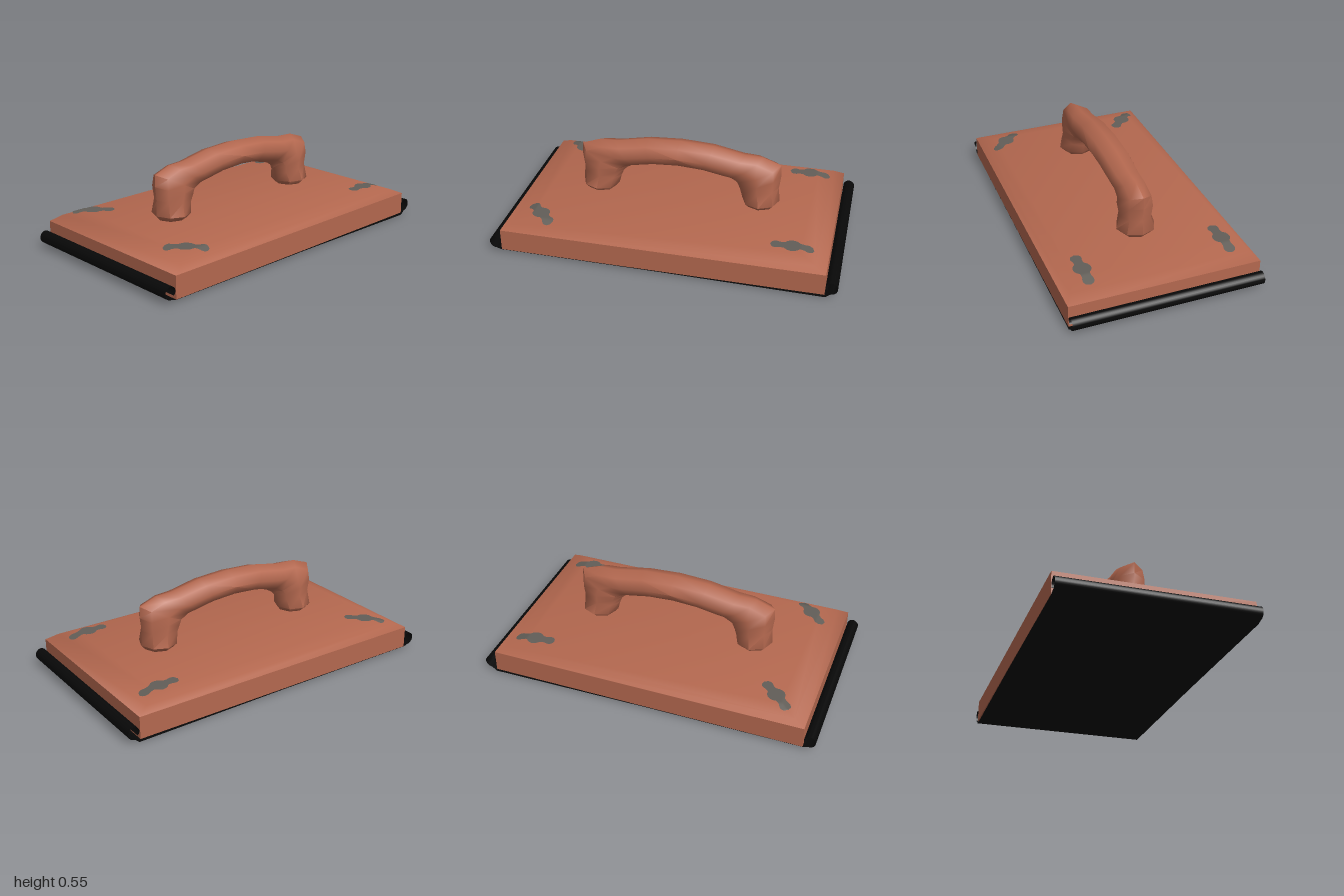
import * as THREE from 'three';
import { toCreasedNormals } from 'three/addons/utils/BufferGeometryUtils.js';

const clay = new THREE.MeshStandardMaterial({ color: 0xb4684f });
clay.name = 'clay brown';
const black = new THREE.MeshStandardMaterial({ color: 0x080808, side: THREE.DoubleSide });
black.name = 'sheet black';
const grey = new THREE.MeshStandardMaterial({ color: 0x625e58, side: THREE.DoubleSide });
grey.name = 'metal grey';

// Closed skin over rings of equal point count, with fan caps at both ends
function loft(rings, crease) {
  const n = rings[0].length, pos = [], index = [];
  rings.forEach(r => r.forEach(p => pos.push(...p)));
  for (let i = 0; i < rings.length - 1; i++) {
    for (let j = 0; j < n; j++) {
      const a = i * n + j, b = i * n + (j + 1) % n;
      index.push(a, b, b + n, a, b + n, a + n);
    }
  }
  const last = (rings.length - 1) * n;
  for (let j = 1; j < n - 1; j++) {
    index.push(0, j + 1, j, last, last + j, last + j + 1);
  }
  const geo = new THREE.BufferGeometry();
  geo.setAttribute('position', new THREE.Float32BufferAttribute(pos, 3));
  geo.setIndex(index);
  return toCreasedNormals(geo, crease);
}

function addMesh(group, name, geo, mat) {
  const mesh = new THREE.Mesh(geo, mat);
  mesh.name = name;
  group.add(mesh);
  return mesh;
}

// Block levels: height, half width, half length
const LEVELS = [[0.016, 0.55, 0.93], [0.145, 0.55, 0.93], [0.175, 0.515, 0.865], [0.2, 0.455, 0.775]];

function blockGeometry() {
  return loft(LEVELS.map(([y, w, l]) => [[-w, y, l], [w, y, l], [w, y, -l], [-w, y, -l]]), 0.85);
}

// Height of the block's top surface at a point
function topHeight(x, z) {
  const drop = (v, axis) => {
    for (let i = 3; i > 1; i--) {
      const hi = LEVELS[i], lo = LEVELS[i - 1];
      if (v <= hi[axis]) return hi[0];
      if (v <= lo[axis]) return THREE.MathUtils.mapLinear(v, hi[axis], lo[axis], hi[0], lo[0]);
    }
    return LEVELS[1][0];
  };
  return Math.min(drop(Math.abs(x), 1), drop(Math.abs(z), 2));
}

// Handle sections: outer z, y, inner z, y, half width
const HALF = [
  [0.565, 0.195, 0.4, 0.195, 0.08],
  [0.595, 0.23, 0.375, 0.225, 0.113],
  [0.588, 0.32, 0.36, 0.28, 0.09],
  [0.598, 0.4, 0.345, 0.315, 0.1],
  [0.595, 0.468, 0.325, 0.335, 0.088],
  [0.49, 0.505, 0.285, 0.36, 0.085],
  [0.385, 0.508, 0.245, 0.372, 0.09],
  [0.2, 0.542, 0.14, 0.395, 0.096],
];

function handleGeometry() {
  const back = [...HALF].reverse().map(([a, b, c, d, w]) => [-a, b, -c, d, w]);
  const rings = [...HALF, [0, 0.552, 0, 0.405, 0.098], ...back].map(([oz, oy, iz, iy, w]) => {
    const ring = [];
    for (let k = 0; k < 8; k++) {
      const a = k * Math.PI / 4, t = (1 + Math.cos(a)) / 2;
      ring.push([Math.sin(a) * w, iy + (oy - iy) * t, iz + (oz - iz) * t]);
    }
    return ring;
  });
  return loft(rings, 1.0);
}

// Sheet under the block, rolled up into a curl at each end
function sheetGeometry() {
  const path = [];
  const curl = (side) => {
    const pts = [];
    for (let i = 0; i <= 24; i++) {
      const t = i / 24, a = -Math.PI / 2 + t * Math.PI * 1.75;
      const r = 0.037 - 0.012 * Math.max(0, t - 0.55) / 0.45;
      pts.push([side * (0.963 + r * Math.cos(a)), 0.06 + r * Math.sin(a)]);
    }
    return pts;
  };
  path.push(...curl(1).reverse(), [0.935, 0.014], [0, 0.011], [-0.935, 0], ...curl(-1));
  const geo = new THREE.PlaneGeometry(1, 1, 1, path.length - 1);
  const p = geo.attributes.position;
  for (let i = 0; i < p.count; i++) {
    const [z, y] = path[Math.floor(i / 2)];
    p.setXYZ(i, i % 2 ? -0.549 : 0.549, y, z);
  }
  return toCreasedNormals(geo, 0.6);
}

// Thin wing nut plate that follows the block's surface
function wingNutGeometry(cx, cz, angle) {
  const rows = 30, cols = 6, half = 0.122;
  const geo = new THREE.PlaneGeometry(2, 2, cols, rows);
  const p = geo.attributes.position;
  const bump = (u, c, r) => Math.sqrt(Math.max(0, r * r - (u - c) ** 2));
  for (let i = 0; i < p.count; i++) {
    const u = p.getY(i) * half;
    const web = Math.abs(u) < 0.09 ? 0.026 : 0;
    const v = p.getX(i) * Math.max(web, bump(u, 0, 0.05), bump(Math.abs(u), 0.09, 0.032));
    const x = cx + u * Math.sin(angle) + v * Math.cos(angle);
    const z = cz - u * Math.cos(angle) + v * Math.sin(angle);
    p.setXYZ(i, x, topHeight(x, z) + 0.004, z);
  }
  geo.computeVertexNormals();
  return geo;
}

export function createModel() {
  const model = new THREE.Group();
  model.name = 'sandingBlock';

  addMesh(model, 'block', blockGeometry(), clay);
  addMesh(model, 'handle', handleGeometry(), clay);
  addMesh(model, 'abrasiveSheet', sheetGeometry(), black);

  // One wing nut near each corner
  const nuts = [
    ['frontRightWingNut', -0.4, 0.73, 0.74],
    ['frontLeftWingNut', 0.4, 0.73, 0.8],
    ['backRightWingNut', -0.41, -0.73, -0.05],
    ['backLeftWingNut', 0.4, -0.725, -0.03],
  ];
  for (const [name, x, z, angle] of nuts) addMesh(model, name, wingNutGeometry(x, z, angle), grey);

  return model;
}
